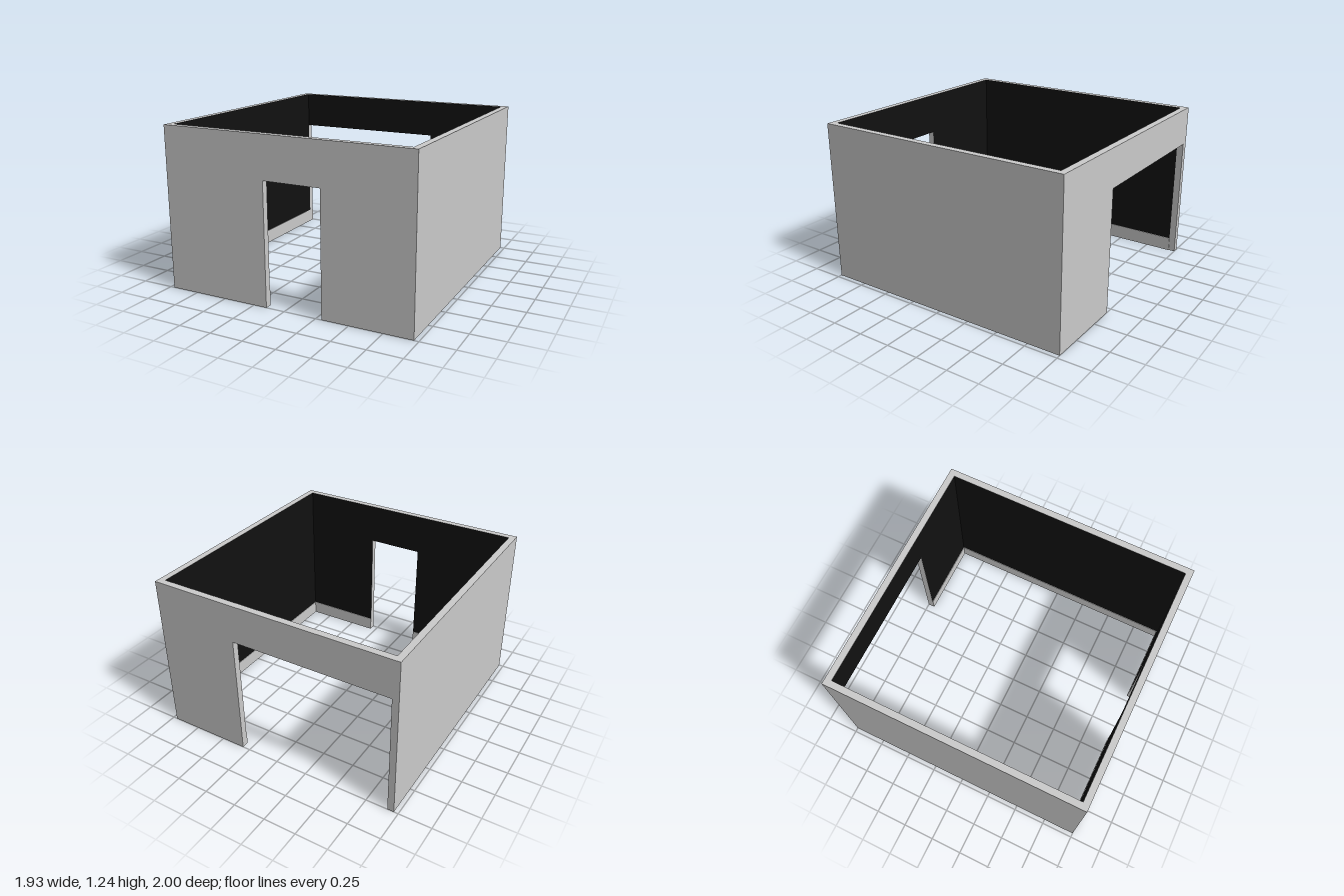
import * as THREE from 'three';

const W = 0.967, D = 1, H = 1.235; // half width, half depth, wall height
const T = 0.05;                    // wall thickness
const SKIRT_H = 0.11, SKIRT_T = 0.005;

const grey = new THREE.MeshStandardMaterial({ color: 0xcccccc });
const dark = new THREE.MeshStandardMaterial({ color: 0x111111 });

// Wall elevation from x0 to x1, with an optional opening that reaches the floor
function elevation(x0, x1, opening) {
  const pts = [[x0, 0]];
  if (opening) {
    const [a, b, h] = opening;
    if (a > x0) pts.push([a, 0]); else pts.pop();
    pts.push([a, h], [b, h], [b, 0]);
  }
  pts.push([x1, 0], [x1, H], [x0, H]);
  return new THREE.Shape(pts.map(p => new THREE.Vector2(...p)));
}

// One wall in its own frame: inner face at z = 0 looking towards +z, body behind it
function wall(name, x0, x1, opening) {
  const group = new THREE.Group();
  group.name = name;
  const add = (part, geometry, material) => {
    const mesh = new THREE.Mesh(geometry, material);
    mesh.name = part;
    group.add(mesh);
    return mesh;
  };
  const shape = elevation(x0, x1, opening);
  add('wallBody', new THREE.ExtrudeGeometry(shape, { depth: T, bevelEnabled: false }), grey).position.z = -T;

  // dark inner wall finish
  add('innerFinish', new THREE.ShapeGeometry(shape), dark).position.z = 0.001;

  // skirting boards on each side of the opening
  const runs = opening ? [[x0, opening[0]], [opening[1], x1]] : [[x0, x1]];
  for (const [a, b] of runs) {
    if (b - a < 0.01) continue;
    const board = add('skirting', new THREE.BoxGeometry(b - a, SKIRT_H, SKIRT_T), grey);
    board.position.set((a + b) / 2, SKIRT_H / 2, SKIRT_T / 2);
  }
  return group;
}

export function createModel() {
  const model = new THREE.Group();
  model.name = 'room';
  const inX = W - T, inZ = D - T;

  // back wall with the wide opening that meets the side wall
  const back = wall('backWall', -inX, inX, [-inX, 0.31, 0.945]);
  back.position.z = -inZ;

  // front wall with the doorway (turned round, so x is mirrored)
  const front = wall('frontWall', -inX, inX, [-0.295, 0.145, 0.917]);
  front.rotation.y = Math.PI;
  front.position.z = inZ;
  model.add(back, front);

  // full-length side walls; their finish and skirting stop at the inner corners
  for (const s of [-1, 1]) {
    const side = wall(s > 0 ? 'leftWall' : 'rightWall', -inZ, inZ);
    side.rotation.y = -s * Math.PI / 2;
    side.position.x = s * inX;
    model.add(side);
    for (const e of [-1, 1]) {
      const end = new THREE.Mesh(new THREE.BoxGeometry(T, H, T), grey);
      end.name = 'cornerPost';
      end.position.set(s * (W - T / 2), H / 2, e * (D - T / 2));
      model.add(end);
    }
  }
  return model;
}
